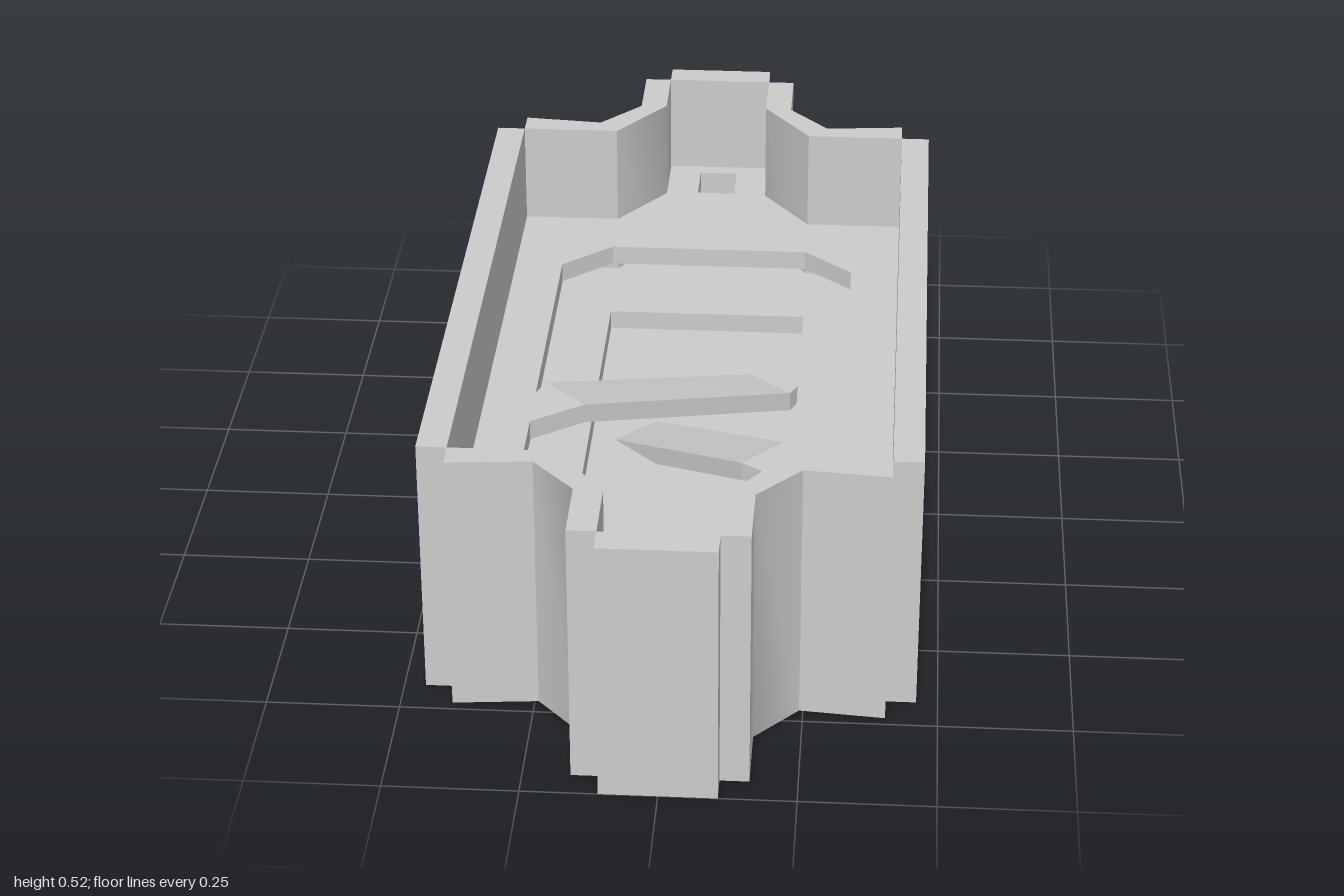
import * as THREE from 'three';
import { toCreasedNormals } from 'three/addons/utils/BufferGeometryUtils.js';

const DECK = 0.04;                       // deck plate thickness
const UPPER = 0.31, LOWER = 0.19, BASE = 0.07, TOP = 0.52;

// Quarter outlines as [x, z], from the side to the end
const OUTER = [[0.46, 0.675], [0.403, 0.675], [0.403, 0.73], [0.243, 0.715], [0.162, 0.805], [0.162, 0.945], [0.108, 0.945], [0.108, 1]];
const INNER = [[0.403, 0.675], [0.205, 0.675], [0.108, 0.808], [0.108, 0.945]];
const OCTAGON = [[0.305, 0.455], [0.205, 0.543]];
const RECT = [[0.205, 0.475]];
const SLOT = [[0.04, 0.05]];

const material = new THREE.MeshStandardMaterial({ color: 0xcccccc, side: THREE.DoubleSide });

// Mirror a quarter outline into a closed counterclockwise loop
function loop(quarter, dz = 0) {
  const back = [...quarter].reverse();
  return [
    ...quarter.map(([x, z]) => [x, z]),
    ...back.map(([x, z]) => [-x, z]),
    ...quarter.map(([x, z]) => [-x, -z]),
    ...back.map(([x, z]) => [x, -z]),
  ].reverse().map(([x, z]) => new THREE.Vector2(x, -(z + dz)));
}

// Flat plate with holes, its top at the given height
function plate(name, outline, holes, top, thickness) {
  const shape = new THREE.Shape(outline);
  holes.forEach((h) => shape.holes.push(new THREE.Path(h)));
  const geometry = new THREE.ExtrudeGeometry(shape, { depth: thickness, bevelEnabled: false });
  geometry.rotateX(-Math.PI / 2).translate(0, top - thickness, 0);
  const mesh = new THREE.Mesh(geometry, material);
  mesh.name = name;
  return mesh;
}

// Slab under four top corners [x, y, z], counterclockwise from above
function slab(name, corners) {
  const under = corners.map(([x, y, z]) => [x, y - DECK, z]);
  const pos = [];
  const quad = (a, b, c, d) => pos.push(...a, ...b, ...c, ...a, ...c, ...d);
  quad(...corners);
  quad(...[...under].reverse());
  for (let i = 0; i < 4; i++) {
    const j = (i + 1) % 4;
    quad(corners[i], under[i], under[j], corners[j]);
  }
  const geometry = new THREE.BufferGeometry();
  geometry.setAttribute('position', new THREE.Float32BufferAttribute(pos, 3));
  geometry.computeVertexNormals();
  const mesh = new THREE.Mesh(geometry, material);
  mesh.name = name;
  return mesh;
}

export function createModel() {
  const model = new THREE.Group();
  model.name = 'walledTray';

  // Surrounding wall, softly shaded at its shallow bends, and base
  const wall = plate('outerWall', loop(OUTER), [loop(INNER)], TOP, TOP);
  wall.geometry = toCreasedNormals(wall.geometry, 0.78);
  model.add(wall);
  model.add(plate('baseFloor', loop(INNER), [], BASE, BASE));

  // Two decks with openings
  const slots = [-0.864, 0.864].map((z) => loop(SLOT, z));
  model.add(plate('upperDeck', loop(INNER), [loop(OCTAGON), ...slots], UPPER, DECK));
  model.add(plate('lowerDeck', loop(INNER), [loop(RECT)], LOWER, DECK));

  // Ramp from the upper deck to the lower deck, with a flat landing at each end
  model.add(slab('upperRampTopLanding', [
    [-0.305, UPPER, 0.095], [-0.305, UPPER, 0.21], [-0.205, UPPER, 0.138], [-0.29, UPPER, 0.055]]));
  model.add(slab('upperRamp', [
    [-0.29, UPPER, 0.055], [-0.205, UPPER, 0.138], [0.19, LOWER, -0.145], [0.105, LOWER, -0.22]]));
  model.add(slab('upperRampFootLanding', [
    [0.105, LOWER, -0.22], [0.19, LOWER, -0.145], [0.205, LOWER, -0.175], [0.205, LOWER, -0.288]]));

  // Ramp from the lower deck to the base
  model.add(slab('lowerRampLanding', [
    [0.105, LOWER, 0.14], [0.205, LOWER, 0.21], [0.205, LOWER, 0.095], [0.185, LOWER, 0.055]]));
  model.add(slab('lowerRamp', [
    [-0.17, BASE, -0.14], [0.105, LOWER, 0.14], [0.185, LOWER, 0.055], [-0.09, BASE, -0.22]]));

  return model;
}
